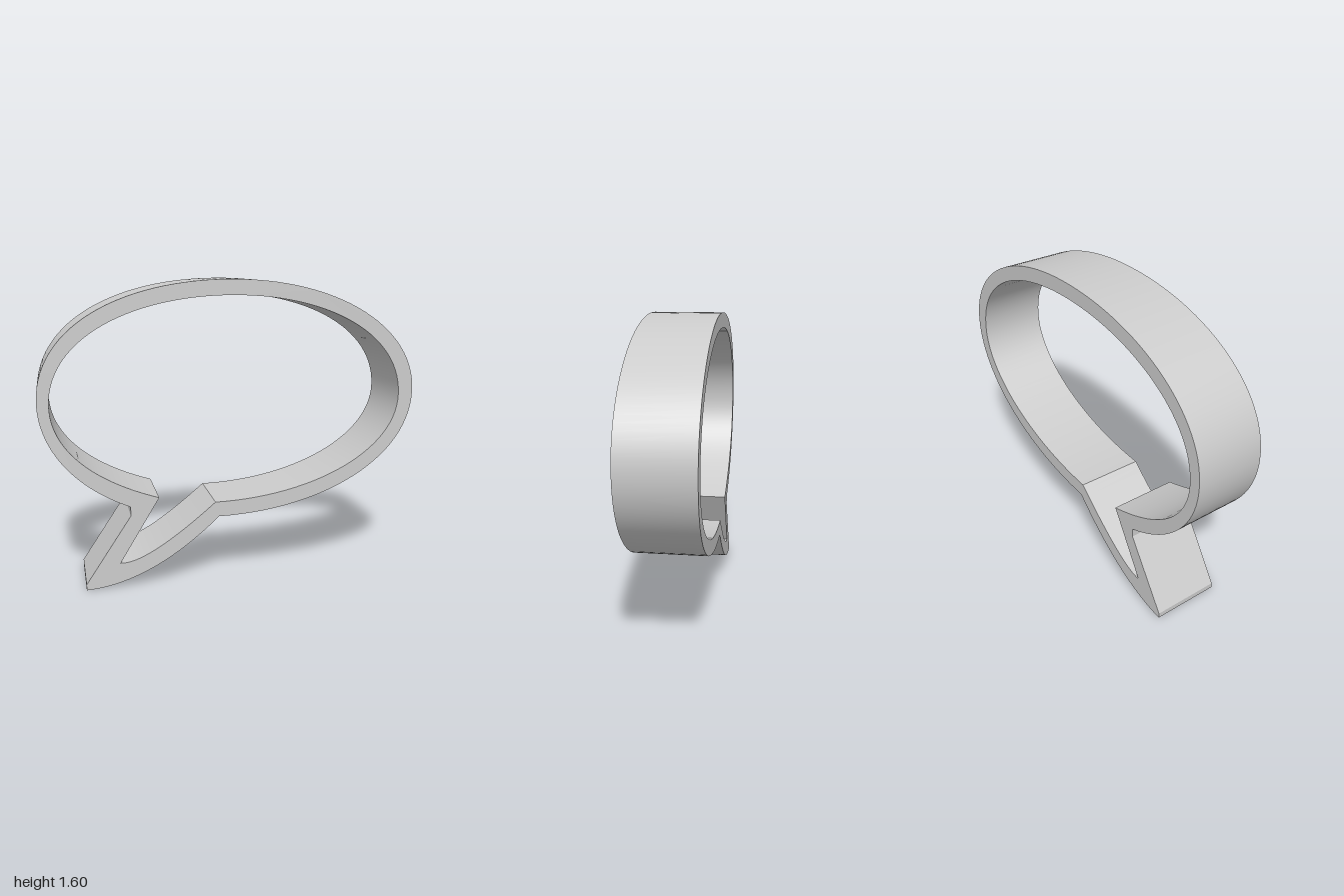
import * as THREE from 'three';
import { toCreasedNormals } from 'three/addons/utils/BufferGeometryUtils.js';

const DEPTH = 0.37;

export function createModel() {
  const group = new THREE.Group();
  group.name = 'speechBubble';

  // Outer outline: oval body with a pointed tail at lower left
  const outline = new THREE.Shape();
  outline.moveTo(-0.79, 0);
  outline.quadraticCurveTo(-0.45, 0.01, -0.08, 0.355);
  outline.bezierCurveTo(0.5, 0.355, 1, 0.62, 1, 1);
  outline.bezierCurveTo(1, 1.34, 0.56, 1.6, -0.01, 1.6);
  outline.bezierCurveTo(-0.58, 1.6, -1, 1.37, -1, 1);
  outline.bezierCurveTo(-1, 0.76, -0.82, 0.55, -0.55, 0.44);
  outline.lineTo(-0.55, 0.39);
  outline.lineTo(-0.79, 0.03);
  outline.closePath();

  // Inner opening, which runs down into the tail
  const opening = new THREE.Path();
  opening.moveTo(-0.4, 0.48);
  opening.bezierCurveTo(-0.75, 0.59, -0.94, 0.77, -0.94, 0.98);
  opening.bezierCurveTo(-0.94, 1.32, -0.52, 1.52, -0.01, 1.52);
  opening.bezierCurveTo(0.5, 1.52, 0.92, 1.31, 0.92, 0.98);
  opening.bezierCurveTo(0.92, 0.67, 0.45, 0.435, -0.1, 0.435);
  opening.quadraticCurveTo(-0.47, 0.12, -0.61, 0.135);
  opening.closePath();
  outline.holes.push(opening);

  const extruded = new THREE.ExtrudeGeometry(outline, {
    depth: DEPTH, bevelEnabled: false, curveSegments: 28,
  });
  extruded.translate(0, 0, -DEPTH / 2);

  // Smooth curved walls, sharp rims and corners
  const frame = new THREE.Mesh(
    toCreasedNormals(extruded, 0.35),
    new THREE.MeshStandardMaterial({ color: 0xcccccc }),
  );
  frame.name = 'bubbleFrame';
  group.add(frame);
  return group;
}
